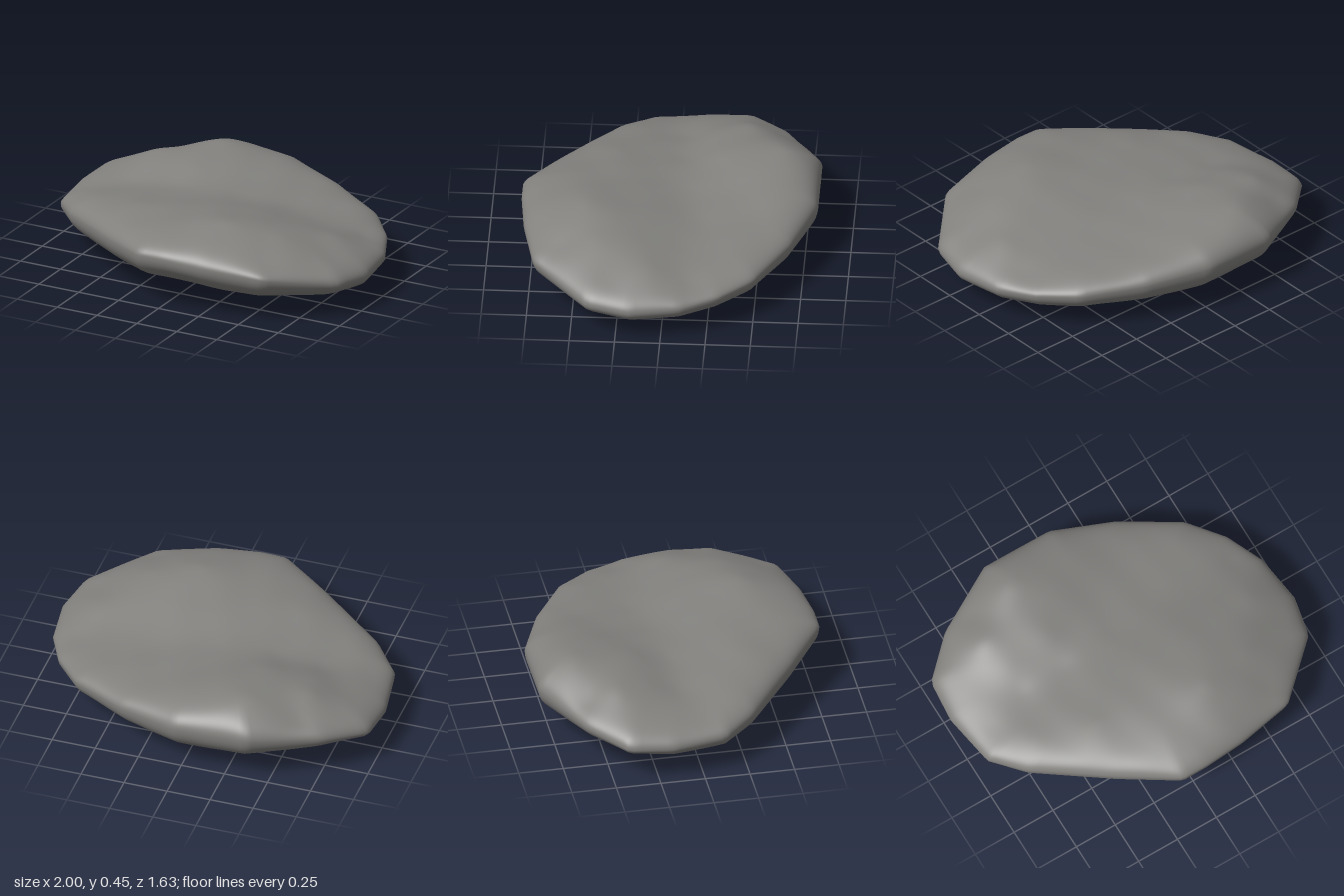
import * as THREE from 'three';
import { mergeVertices } from 'three/addons/utils/BufferGeometryUtils.js';

// Rim of the slab: x, z, height
const rim = [
  [-0.4, -0.82, 0.30], [0.02, -0.82, 0.29], [0.37, -0.69, 0.26], [0.70, -0.50, 0.23],
  [0.86, -0.31, 0.21], [0.96, -0.10, 0.19], [1.00, 0.18, 0.18], [0.95, 0.41, 0.20],
  [0.63, 0.72, 0.27], [0.30, 0.79, 0.30], [0.05, 0.815, 0.32], [-0.10, 0.815, 0.32],
  [-0.40, 0.61, 0.29], [-0.80, 0.31, 0.25], [-0.95, 0.13, 0.22], [-1.00, -0.18, 0.21],
  [-0.98, -0.42, 0.22], [-0.77, -0.62, 0.26],
];

// Humps and hollows of the upper face: x, z, height
const upper = [
  [0.28, 0.45, 0.455], [-0.05, 0.70, 0.41], [-0.35, 0.30, 0.40], [-0.32, 0.50, 0.395],
  [-0.70, 0.20, 0.35], [-0.85, 0.00, 0.315], [0.56, 0.38, 0.405], [0.56, 0.62, 0.36],
  [0.86, 0.28, 0.31], [0.75, 0.08, 0.34], [0.80, -0.15, 0.28], [-0.35, -0.62, 0.46],
  [-0.05, -0.65, 0.42], [-0.64, -0.42, 0.415], [0.30, -0.52, 0.35], [0.60, -0.38, 0.315],
  [0.50, -0.10, 0.33], [0.25, -0.18, 0.35], [0.00, -0.12, 0.37], [-0.08, 0.08, 0.395],
  [0.36, 0.12, 0.40], [-0.32, -0.27, 0.415], [-0.60, -0.25, 0.39], [-0.60, -0.08, 0.345],
  [-0.33, -0.08, 0.37], [-0.87, -0.35, 0.34], [-0.65, -0.60, 0.37],
];

// The same for the underside
const lower = [
  [0.10, 0.08, 0.00], [-0.12, 0.25, 0.035], [0.15, 0.45, 0.06], [0.10, 0.70, 0.15],
  [-0.50, 0.00, 0.05], [-0.82, -0.10, 0.08], [-0.40, 0.45, 0.10], [0.40, -0.10, 0.04],
  [0.88, 0.10, 0.06], [0.70, 0.50, 0.09], [0.05, -0.40, 0.04], [0.00, -0.66, 0.08],
  [-0.50, -0.50, 0.09], [0.50, -0.45, 0.08], [-0.75, -0.45, 0.13], [0.45, 0.30, 0.045],
];

// Surface through the control points, with soft ridges between even slopes
function heightField(points) {
  const reach = (ax, az, bx, bz) => Math.sqrt((ax - bx) ** 2 + (az - bz) ** 2 + 0.002);
  const n = points.length;
  const mean = points.reduce((sum, p) => sum + p[2], 0) / n;
  const m = points.map(([x, z, y]) => [...points.map((p) => reach(x, z, p[0], p[1])), y - mean]);

  // Gauss-Jordan elimination for the weight of each point
  for (let c = 0; c < n; c++) {
    let pivot = c;
    for (let r = c + 1; r < n; r++) if (Math.abs(m[r][c]) > Math.abs(m[pivot][c])) pivot = r;
    [m[c], m[pivot]] = [m[pivot], m[c]];
    for (let r = 0; r < n; r++) {
      if (r === c) continue;
      const f = m[r][c] / m[c][c];
      for (let k = c; k <= n; k++) m[r][k] -= f * m[c][k];
    }
  }
  const weights = m.map((row, i) => row[n] / row[i]);
  return (x, z) => points.reduce((y, p, i) => y + weights[i] * reach(x, z, p[0], p[1]), mean);
}

// Point of the rim in the direction (dx, dz)
function rimPoint(dx, dz) {
  for (let i = 0; i < rim.length; i++) {
    const a = rim[i], b = rim[(i + 1) % rim.length];
    const ca = dx * a[1] - dz * a[0], cb = dx * b[1] - dz * b[0];
    if (ca <= 0 !== cb <= 0 && dx * a[0] + dz * a[1] > 0) {
      const t = ca / (ca - cb);
      return a.map((v, k) => v + (b[k] - v) * t);
    }
  }
  return rim[0];
}

function slabGeometry() {
  const sphere = new THREE.SphereGeometry(1, 180, 100);
  sphere.deleteAttribute('uv');
  sphere.deleteAttribute('normal');
  const geometry = mergeVertices(sphere, 1e-5);
  const pos = geometry.attributes.position;
  const topAt = heightField(upper), bottomAt = heightField(lower);

  for (let i = 0; i < pos.count; i++) {
    const sx = pos.getX(i), sy = pos.getY(i), sz = pos.getZ(i);
    const across = Math.hypot(sx, sz);
    const [rx, rz, ry] = across > 1e-6 ? rimPoint(sx / across, sz / across) : [0, 0, 0.25];

    // Broad faces that curl over into a rounded edge
    const s = Math.min(1, across ** 0.75);
    const x = rx * s, z = rz * s;
    const top = sy >= 0;
    const face = top ? topAt(x, z) : bottomAt(x, z);
    const curl = Math.sqrt(Math.max(0, 1 - s ** (top ? 9 : 7)));

    // Faint weathering
    const grain = 0.002 * Math.sin(17 * x + 5 * z) * Math.sin(13 * z - 7 * x) * curl;
    pos.setXYZ(i, x, ry + (face - ry) * curl + grain, z);
  }

  geometry.computeBoundingBox();
  geometry.translate(0, -geometry.boundingBox.min.y, 0);
  geometry.computeVertexNormals();
  return geometry;
}

export function createModel() {
  const group = new THREE.Group();
  group.name = 'flatRock';
  const slab = new THREE.Mesh(slabGeometry(), new THREE.MeshStandardMaterial({ color: 0x82817e }));
  slab.name = 'stoneSlab';
  group.add(slab);
  return group;
}
